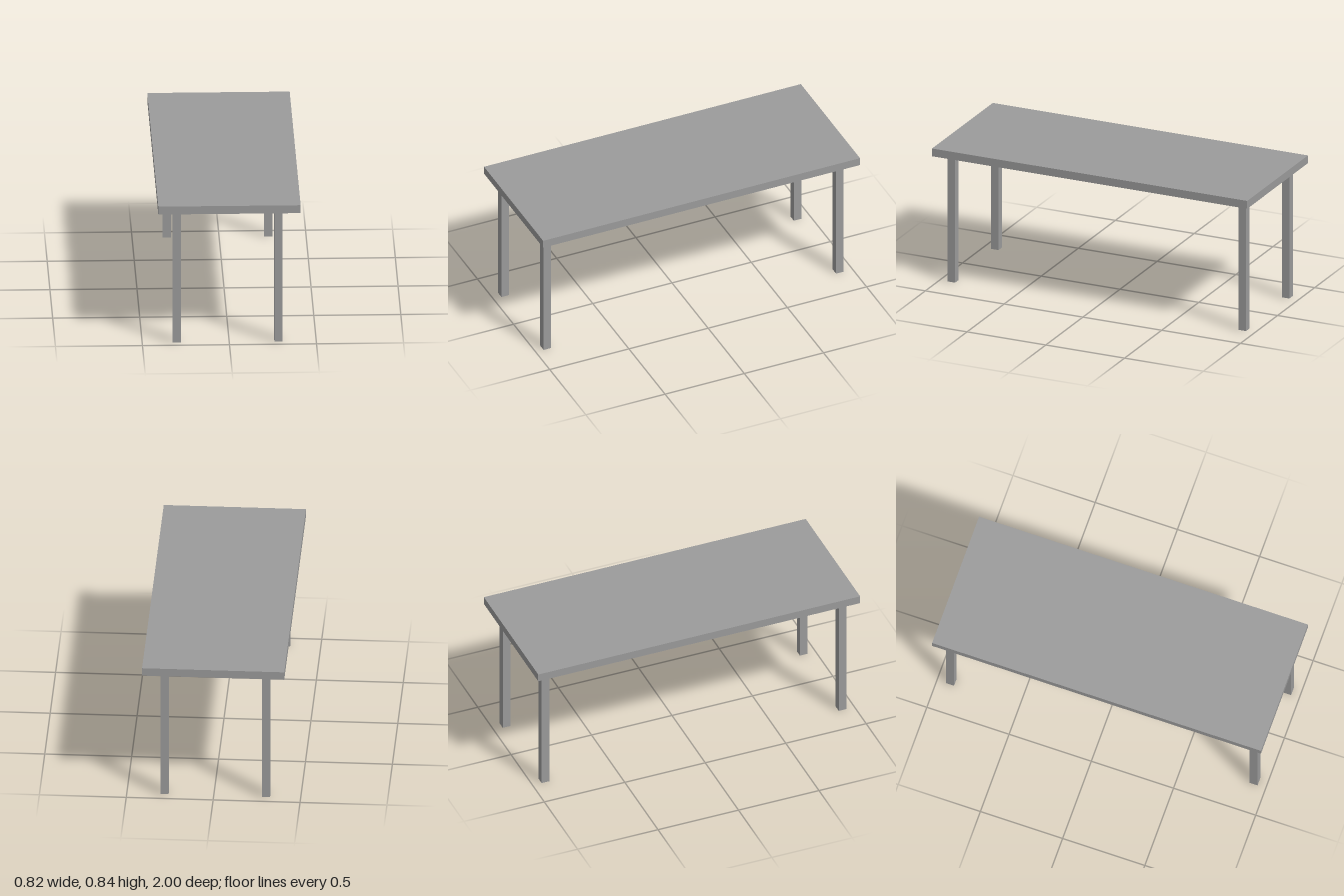
import * as THREE from 'three';

const material = new THREE.MeshStandardMaterial({ color: 0x9b9b9b, flatShading: true });

// Box spanning y0..y1, centred on x, z
function box(name, w, d, y0, y1, x = 0, z = 0) {
  const mesh = new THREE.Mesh(new THREE.BoxGeometry(w, y1 - y0, d), material);
  mesh.name = name;
  mesh.position.set(x, (y0 + y1) / 2, z);
  return mesh;
}

export function createModel() {
  const table = new THREE.Group();
  table.name = 'table';

  const plateBottom = 0.781, topBottom = 0.795, topHeight = 0.843;
  table.add(box('tableTop', 0.818, 2, topBottom, topHeight));

  // Square legs, each under a wider mounting plate, set slightly off centre
  for (const [side, x] of [['Left', 0.283], ['Right', -0.301]]) {
    for (const [end, z] of [['front', 0.926], ['back', -0.92]]) {
      const leg = new THREE.Group();
      leg.name = `${end}${side}Leg`;
      leg.add(
        box('legPost', 0.047, 0.048, 0, plateBottom, x, z),
        box('mountingPlate', 0.077, 0.077, plateBottom, topBottom, x, z),
      );
      table.add(leg);
    }
  }
  return table;
}
